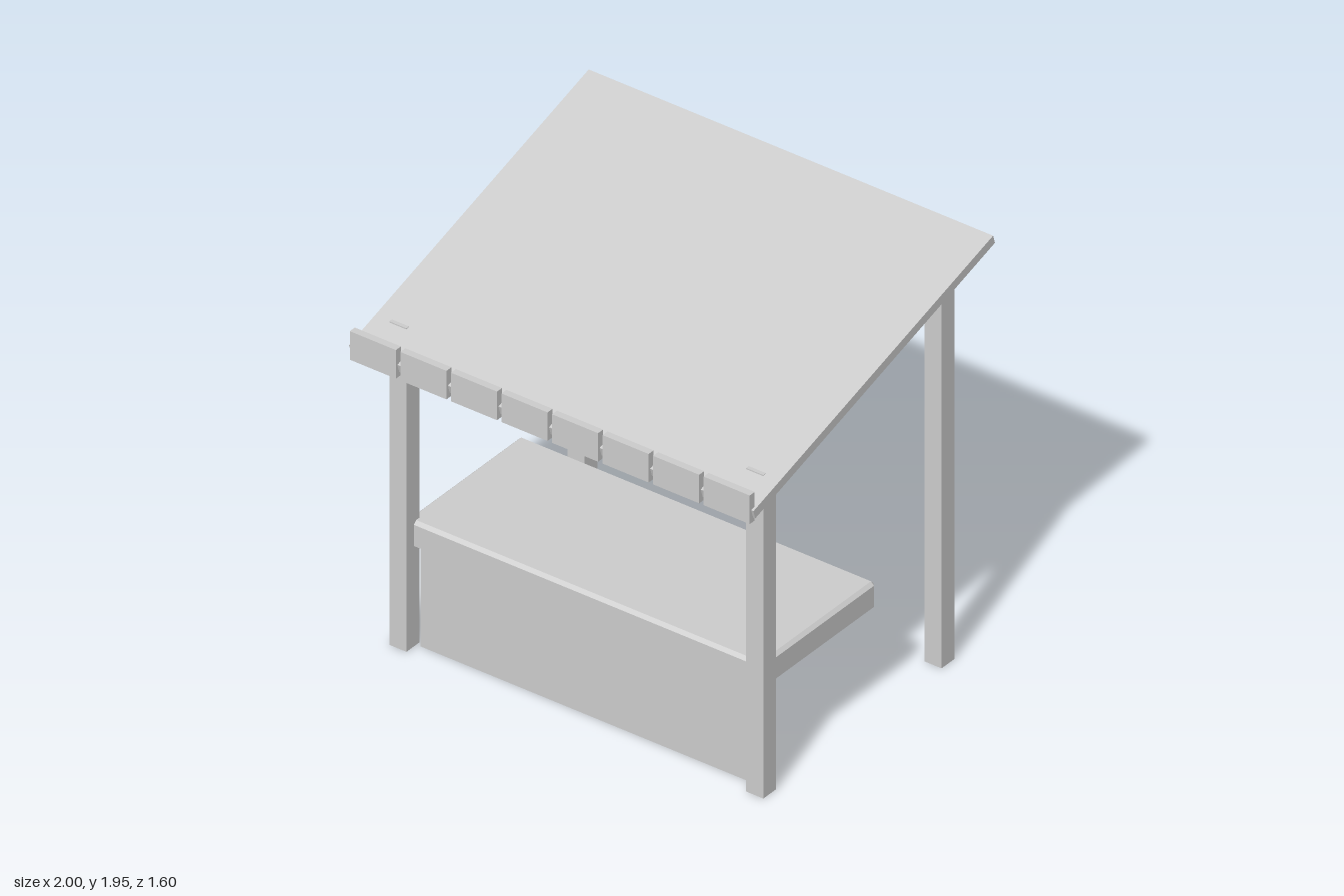
import * as THREE from 'three';

const wood = new THREE.MeshStandardMaterial({ color: 0xcccccc, side: THREE.DoubleSide });
wood.name = 'plain grey';

// Box shell with no underside, given by its min and max corners
function openBox(name, [x0, y0, z0], [x1, y1, z1]) {
  const geo = new THREE.BoxGeometry(x1 - x0, y1 - y0, z1 - z0);
  const index = Array.from(geo.index.array);
  index.splice(18, 6); // bottom face
  geo.setIndex(index);
  geo.clearGroups();
  const mesh = new THREE.Mesh(geo, wood);
  mesh.name = name;
  mesh.position.set((x0 + x1) / 2, (y0 + y1) / 2, (z0 + z1) / 2);
  return mesh;
}

// Rectangle with cut corners, counter-clockwise seen from above
function ring(hx, hz, cut, y) {
  return [
    [hx - cut, y, hz], [hx, y, hz - cut],
    [hx, y, -hz + cut], [hx - cut, y, -hz],
    [-hx + cut, y, -hz], [-hx, y, -hz + cut],
    [-hx, y, hz - cut], [-hx + cut, y, hz],
  ];
}

// Skin over stacked rings, capped on top and open below
function shell(rings) {
  const pos = [];
  const tri = (...pts) => pts.forEach((p) => pos.push(...p));
  const n = rings[0].length;
  for (let r = 0; r < rings.length - 1; r++) {
    for (let i = 0; i < n; i++) {
      const j = (i + 1) % n;
      const a = rings[r][i], b = rings[r][j], c = rings[r + 1][j], d = rings[r + 1][i];
      tri(a, b, c);
      tri(a, c, d);
    }
  }
  const top = rings[rings.length - 1];
  for (let i = 1; i < n - 1; i++) tri(top[0], top[i], top[i + 1]);
  const geo = new THREE.BufferGeometry();
  geo.setAttribute('position', new THREE.Float32BufferAttribute(pos, 3));
  geo.computeVertexNormals();
  return geo;
}

export function createModel() {
  const stall = new THREE.Group();
  stall.name = 'marketStall';

  // Four posts, the front pair just piercing the roof
  for (const s of [-1, 1]) {
    const x0 = s * 0.8825 - 0.0425, x1 = s * 0.8825 + 0.0425;
    stall.add(openBox('frontPost', [x0, 0, 0.54], [x1, 1.53, 0.625]));
    stall.add(openBox('backPost', [x0, 0, -0.635], [x1, 1.765, -0.55]));
  }

  // Front panel under the counter
  stall.add(openBox('frontPanel', [-0.82, 0, 0.497], [0.82, 0.48, 0.56]));

  // Counter: hollow below, with chamfered edges
  const hx = 0.88, hz = 0.378, c = 0.015;
  const counter = new THREE.Mesh(shell([
    ring(hx, hz, c, 0.475),
    ring(hx, hz, c, 0.575),
    ring(hx - c, hz - c, 0, 0.59),
  ]), wood);
  counter.name = 'counter';
  counter.position.z = 0.198;
  stall.add(counter);

  // Sloping roof: a hollow sheet with thin ribs underneath
  const roof = new THREE.Group();
  roof.name = 'roof';
  const halfT = 0.021, halfL = 0.825;
  roof.add(openBox('roofSheet', [-1, -halfT, -halfL], [1, halfT, halfL]));
  const ribGeo = new THREE.PlaneGeometry(2 * halfL, 2 * halfT - 0.002).rotateY(Math.PI / 2);
  for (let i = 1; i < 8; i++) {
    const rib = new THREE.Mesh(ribGeo, wood);
    rib.name = 'roofRib';
    rib.position.x = -1 + i * 0.25;
    roof.add(rib);
  }
  roof.position.set(0, 1.6925, -0.006);
  roof.rotation.x = Math.atan2(0.475, 1.58);
  stall.add(roof);

  // Row of valance boards along the low edge
  for (let i = 0; i < 8; i++) {
    const x = -0.875 + i * 0.25;
    stall.add(openBox('valanceBoard', [x - 0.114, 1.415, 0.767], [x + 0.114, 1.55, 0.8]));
  }
  return stall;
}
